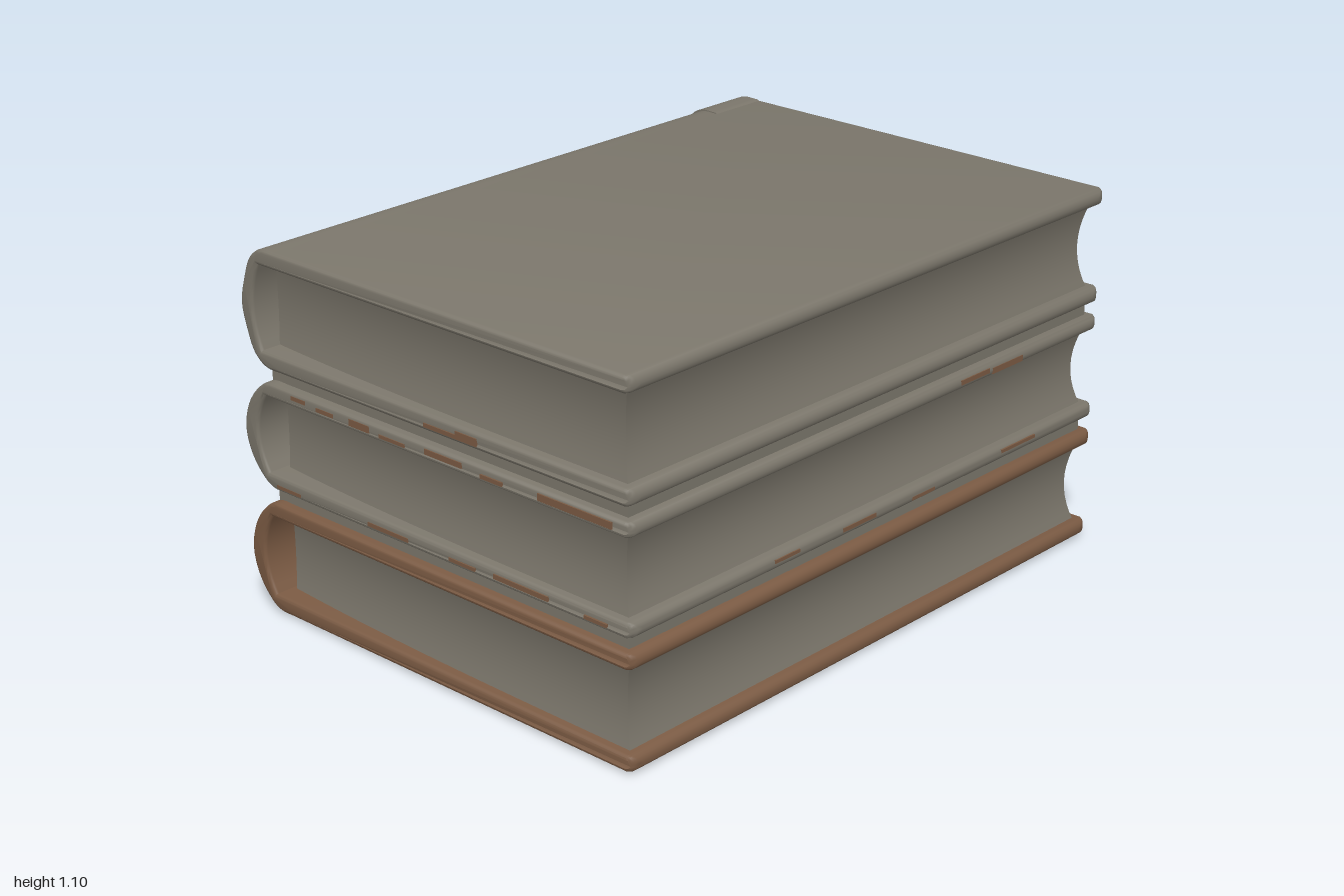
import * as THREE from 'three';
import { toCreasedNormals } from 'three/addons/utils/BufferGeometryUtils.js';

const material = (name, color) => new THREE.MeshStandardMaterial({ name, color });

function addMesh(parent, name, geometry, mat, x = 0, y = 0, z = 0) {
  const mesh = new THREE.Mesh(geometry, mat);
  mesh.name = name;
  mesh.position.set(x, y, z);
  parent.add(mesh);
  return mesh;
}

// Outer line of the rounded spine, from the bottom board up to the top board
function spineLine({ y0, y1, spine }, start) {
  const mid = (y0 + y1) / 2, h = (y1 - y0) / 2;
  const at = (x, v) => new THREE.Vector3(x, mid + v * h, 0);
  return new THREE.CatmullRomCurve3([
    at(start, -1), at(-0.645, -0.985), at(-0.69, -0.8), at(spine + 0.018, -0.45), at(spine, 0),
    at(spine + 0.018, 0.45), at(-0.69, 0.8), at(-0.645, 0.985), at(start, 1),
  ]).getPoints(32).map((p) => new THREE.Vector2(p.x, p.y));
}

// Half-round free edge of a board
function nose(y, r) {
  return Array.from({ length: 9 }, (_, i) => {
    const a = -Math.PI / 2 + (i / 8) * Math.PI;
    return new THREE.Vector2(0.745 - r + r * Math.cos(a), y + r * Math.sin(a));
  });
}

// Boards and spine as one C-shaped section with rounded corners in plan
function coverGeometry(book) {
  const { y0, y1, t, spine } = book, mid = (y0 + y1) / 2, r = t / 2, bevel = 0.011;
  const inner = new THREE.QuadraticBezierCurve(
    new THREE.Vector2(-0.655, y1 - t), new THREE.Vector2(spine + 0.02, mid),
    new THREE.Vector2(-0.655, y0 + t)).getPoints(12);
  const outline = [...nose(y1 - r, r).reverse(), ...inner.slice().map((p) => p), ...nose(y0 + r, r).reverse()];
  const outer = spineLine(book, -0.58);
  const shape = new THREE.Shape([...outline, ...outer]);
  const geometry = new THREE.ExtrudeGeometry(shape, {
    depth: 2 - 2 * bevel, bevelThickness: bevel, bevelSize: bevel, bevelOffset: -bevel, bevelSegments: 3,
  }).translate(0, 0, -1 + bevel);
  const p = geometry.attributes.position;
  for (let i = 0; i < p.count; i++) {
    const dx = Math.min(Math.max(p.getX(i) - 0.71, 0), 0.035);
    const inset = 0.035 - Math.sqrt(0.035 * 0.035 - dx * dx);
    p.setZ(i, p.getZ(i) - Math.sign(p.getZ(i)) * inset);
  }
  return toCreasedNormals(geometry, 0.7);
}

// Slightly raised band at the back end of the spine
function bandGeometry(book) {
  const mid = (book.y0 + book.y1) / 2, line = spineLine(book, -0.58);
  const grown = (dx, s) => line.map((p) => new THREE.Vector2(p.x + dx, mid + (p.y - mid) * s));
  const shape = new THREE.Shape([...grown(-0.007, 1.02), ...grown(0.012, 0.95).reverse()]);
  const geometry = new THREE.ExtrudeGeometry(shape, { depth: 0.2, bevelEnabled: false });
  return toCreasedNormals(geometry.translate(0, 0, -0.99), 0.7);
}

// Page block with a hollow fore-edge and hollow ends that sink towards the spine
function pagesGeometry({ y0, y1, t, spine }) {
  const h = y1 - y0 - 2 * t + 0.01;
  const geometry = new THREE.BoxGeometry(1.39, h, 1.94, 12, 10, 2);
  const p = geometry.attributes.position;
  for (let i = 0; i < p.count; i++) {
    const x = p.getX(i), v = p.getY(i) / (h / 2), z = p.getZ(i);
    const hollow = 1 - v * v;
    const u = (x + 0.695) / 1.39;
    const sink = 0.02 * hollow + 0.035 * Math.pow(1 - u, 3);
    p.setZ(i, z * (1 - sink / 0.97));
    p.setX(i, x + 0.015 - 0.025 * hollow * u + (1 - u) * (0.04 - (spine + 0.75) - 0.02 * hollow));
  }
  return toCreasedNormals(geometry.translate(0, (y0 + y1) / 2, 0), 0.7);
}

export function createModel() {
  const model = new THREE.Group();
  model.name = 'bookStack';
  const grey = material('warmGrey', 0x7b766b);
  const brown = material('leatherBrown', 0x7a5a43);

  const books = [
    { name: 'bottomBook', y0: 0.006, y1: 0.346, t: 0.048, spine: -0.75, cover: brown },
    { name: 'middleBook', y0: 0.388, y1: 0.71, t: 0.045, spine: -0.75, cover: grey },
    { name: 'topBook', y0: 0.75, y1: 1.1, t: 0.05, spine: -0.735, cover: grey },
  ];
  for (const book of books) {
    const group = new THREE.Group();
    group.name = book.name;
    addMesh(group, 'cover', coverGeometry(book), book.cover);
    addMesh(group, 'spineBand', bandGeometry(book), book.cover);
    addMesh(group, 'pages', pagesGeometry(book), grey);
    model.add(group);
  }

  // Infill between neighbouring books
  for (const y of [0.367, 0.73]) {
    addMesh(model, 'infill', new THREE.BoxGeometry(1.36, 0.06, 1.94), grey, 0.03, y, 0);
  }

  // Grey underside
  addMesh(model, 'underside', new THREE.BoxGeometry(1.36, 0.008, 1.96), grey, 0.03, 0.004, 0);

  // Worn patches on the board ends: [x, y, width, height]
  const endWear = [
    [-0.51, 0.692, 0.06, 0.012], [-0.4, 0.686, 0.07, 0.012], [-0.26, 0.688, 0.08, 0.02],
    [-0.13, 0.682, 0.1, 0.01], [0.07, 0.69, 0.14, 0.016], [0.25, 0.682, 0.08, 0.012],
    [0.55, 0.688, 0.26, 0.02], [-0.57, 0.402, 0.1, 0.01], [-0.16, 0.406, 0.16, 0.012],
    [0.13, 0.404, 0.1, 0.01], [0.35, 0.409, 0.2, 0.014], [0.62, 0.404, 0.08, 0.01],
    [0.1, 0.766, 0.2, 0.012], [0.16, 0.777, 0.08, 0.012],
  ];
  for (const [x, y, w, h] of endWear) {
    for (const z of [-0.998, 0.998]) {
      addMesh(model, 'endWear', new THREE.BoxGeometry(w, h, 0.006), brown, x, y, z);
    }
  }

  // Worn patches on the fore-edge: [z, y, length, height]
  const edgeWear = [
    [-0.4, 0.69, 0.13, 0.014], [-0.55, 0.684, 0.14, 0.018], [0.1, 0.412, 0.14, 0.012],
    [-0.18, 0.406, 0.1, 0.01], [0.4, 0.416, 0.1, 0.01], [-0.62, 0.418, 0.16, 0.01],
  ];
  for (const [z, y, l, h] of edgeWear) {
    addMesh(model, 'edgeWear', new THREE.BoxGeometry(0.008, h, l), brown, 0.742, y, z);
  }
  return model;
}
